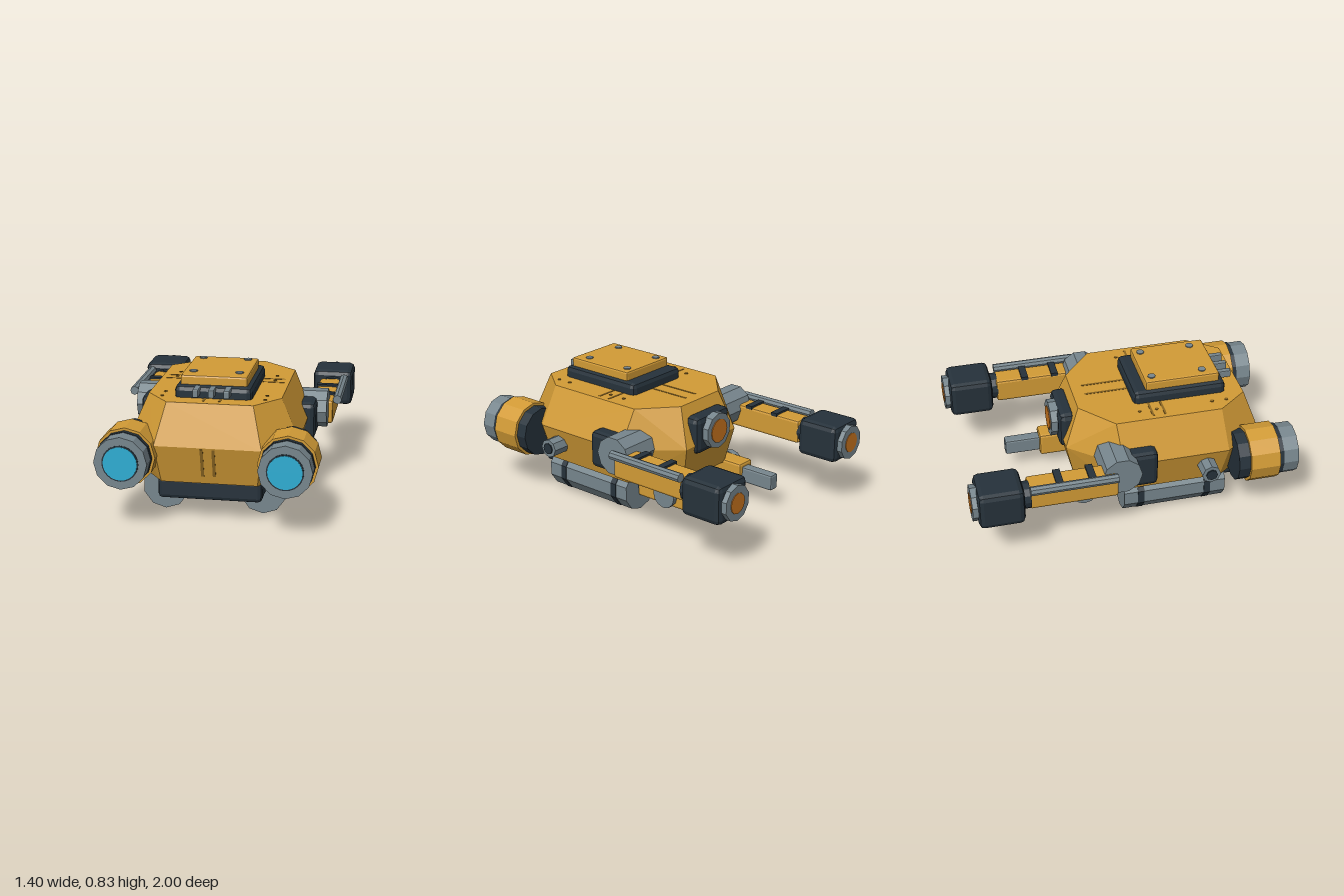
import * as THREE from 'three';
import { RoundedBoxGeometry } from 'three/addons/geometries/RoundedBoxGeometry.js';
import { ConvexGeometry } from 'three/addons/geometries/ConvexGeometry.js';

const material = (name, color) => {
  const m = new THREE.MeshStandardMaterial({ color });
  m.name = name;
  return m;
};

export function createModel() {
  const yellow = material('yellow paint', 0xd29b36);
  const groove = material('groove brown', 0x8c6722);
  const dark = material('dark rubber', 0x26323b);
  const steel = material('steel', 0x77868d);
  const cyan = material('cyan glass', 0x2eaed4);
  const orange = material('orange glow', 0xc9751e);

  const model = new THREE.Group();
  model.name = 'hoverPod';

  const add = (parent, name, geometry, mat, x = 0, y = 0, z = 0) => {
    // Faceted normals throughout
    const g = geometry.index ? geometry.toNonIndexed() : geometry;
    g.computeVertexNormals();
    const mesh = new THREE.Mesh(g, mat);
    mesh.name = name;
    mesh.position.set(x, y, z);
    parent.add(mesh);
    return mesh;
  };

  // Box given by its extents, chamfered when c > 0
  const box = (parent, name, mat, [x0, x1], [y0, y1], [z0, z1], c = 0) => {
    const size = [x1 - x0, y1 - y0, z1 - z0];
    const g = c ? new RoundedBoxGeometry(...size, 1, c) : new THREE.BoxGeometry(...size);
    return add(parent, name, g, mat, (x0 + x1) / 2, (y0 + y1) / 2, (z0 + z1) / 2);
  };

  // Cylinder along an axis, running from a to b; u and v are the other two coordinates in xyz order
  const rod = (parent, name, mat, axis, a, b, u, v, r, sides = 12) => {
    const g = new THREE.CylinderGeometry(r, r, b - a, sides);
    const m = (a + b) / 2;
    if (axis === 'x') return add(parent, name, g.rotateZ(Math.PI / 2), mat, m, u, v);
    if (axis === 'z') return add(parent, name, g.rotateX(Math.PI / 2), mat, u, v, m);
    return add(parent, name, g, mat, u, m, v);
  };

  // Hull: three chamfered-rectangle rings
  const rings = [
    { y: 0.23, w: 0.43, f: 0.77, b: -0.31, fx: 0.28, bx: 0.20, fz: 0.56, bz: -0.06 },
    { y: 0.46, w: 0.495, f: 0.83, b: -0.36, fx: 0.31, bx: 0.235, fz: 0.59, bz: -0.06 },
    { y: 0.70, w: 0.39, f: 0.745, b: -0.27, fx: 0.25, bx: 0.18, fz: 0.565, bz: -0.085 },
  ];
  const points = [];
  for (const r of rings)
    for (const s of [-1, 1])
      for (const [x, z] of [[r.fx, r.f], [r.w, r.fz], [r.w, r.bz], [r.bx, r.b]])
        points.push(new THREE.Vector3(s * x, r.y, z));
  add(model, 'hull', new ConvexGeometry(points), yellow);
  box(model, 'belly', dark, [-0.305, 0.305], [0.12, 0.25], [-0.2, 0.76], 0.025);

  // Roof hatch with bolts and front vents
  box(model, 'hatchBase', dark, [-0.225, 0.225], [0.67, 0.77], [0.065, 0.64], 0.03);
  box(model, 'hatchLid', yellow, [-0.195, 0.195], [0.755, 0.825], [0.145, 0.605], 0.012);
  for (const x of [-0.135, 0.135])
    for (const z of [0.195, 0.51]) rod(model, 'hatchBolt', steel, 'y', 0.82, 0.831, x, z, 0.024, 8);
  for (const x of [-0.09, 0, 0.09])
    box(model, 'hatchVent', steel, [x - 0.017, x + 0.017], [0.72, 0.767], [0.6, 0.708], 0.006);

  // Rear centre thruster
  box(model, 'rearMount', dark, [-0.16, 0.16], [0.4, 0.635], [-0.38, -0.27], 0.035);
  rod(model, 'rearNozzle', steel, 'z', -0.42, -0.37, 0, 0.53, 0.112, 10);
  rod(model, 'rearGlow', orange, 'z', -0.425, -0.418, 0, 0.53, 0.075, 12);

  for (const s of [1, -1]) {
    const side = new THREE.Group();
    side.name = s > 0 ? 'leftSide' : 'rightSide';
    model.add(side);
    const X = (a, b) => (s > 0 ? [a, b] : [-b, -a]);
    const sideBox = (name, mat, x, ...rest) => box(side, name, mat, X(...x), ...rest);
    const zRod = (name, mat, a, b, x, y, r, n) => rod(side, name, mat, 'z', a, b, s * x, y, r, n);
    const xRod = (name, mat, a, b, y, z, r, n) => rod(side, name, mat, 'x', ...X(a, b), y, z, r, n);

    // Headlamp
    zRod('lampBack', dark, 0.62, 0.695, 0.465, 0.4, 0.155);
    zRod('lampShell', yellow, 0.69, 0.872, 0.465, 0.4, 0.173);
    zRod('lampSeal', dark, 0.87, 0.9, 0.465, 0.4, 0.158);
    zRod('lampRim', steel, 0.895, 0.994, 0.465, 0.4, 0.154);
    zRod('lampGasket', dark, 0.99, 0.997, 0.465, 0.4, 0.106, 24);
    zRod('lampLens', cyan, 0.993, 1.0, 0.465, 0.4, 0.098, 24);

    // Underslung tank with straps
    zRod('tank', steel, -0.04, 0.6, 0.29, 0.14, 0.137, 10);
    for (const z of [0.065, 0.485]) zRod('tankStrap', dark, z - 0.02, z + 0.02, 0.29, 0.141, 0.141, 10);

    // Side knob
    xRod('knob', steel, 0.42, 0.575, 0.36, 0.46, 0.058, 8);
    xRod('knobCap', dark, 0.57, 0.583, 0.36, 0.46, 0.036, 8);

    // Shoulder and thruster arm
    sideBox('shoulderMount', dark, [0.42, 0.54], [0.32, 0.552], [-0.1, 0.14], 0.03);
    xRod('shoulder', steel, 0.34, 0.597, 0.465, -0.095, 0.12, 10);
    sideBox('arm', yellow, [0.493, 0.625], [0.35, 0.5], [-0.66, -0.125], 0.015);
    for (const z of [-0.28, -0.475])
      sideBox('armSlat', dark, [0.49, 0.622], [0.49, 0.512], [z - 0.022, z + 0.022]);
    zRod('armRail', steel, -0.655, -0.135, 0.65, 0.505, 0.028, 8);
    zRod('armNeck', dark, -0.7, -0.65, 0.573, 0.425, 0.082);
    sideBox('thrusterBody', dark, [0.442, 0.7], [0.31, 0.543], [-0.965, -0.692], 0.032);
    zRod('thrusterNozzle', steel, -0.996, -0.95, 0.573, 0.425, 0.107, 10);
    zRod('thrusterGlow', orange, -1.0, -0.994, 0.573, 0.425, 0.062, 12);

    // Lower rear claw
    sideBox('clawBase', yellow, [0.188, 0.312], [0.1, 0.25], [-0.445, -0.04], 0.015);
    sideBox('clawProng', steel, [0.212, 0.282], [0.125, 0.225], [-0.665, -0.43], 0.012);
    xRod('clawPivot', steel, 0.3, 0.343, 0.175, -0.27, 0.08, 12);

    // Painted panel seams and rivets
    const seam = sideBox('frontSeam', groove, [0.025, 0.043], [-0.09, 0.09], [-0.002, 0.002]);
    seam.position.set(s * 0.034, 0.365, 0.806);
    seam.rotation.x = Math.atan2(0.06, 0.23);
    for (const [z0, z1] of [[-0.2, 0.06], [0.64, 0.7]])
      sideBox('roofSeam', groove, [0.04, 0.054], [0.699, 0.702], [z0, z1]);
    for (const z of [0.15, 0.225])
      sideBox('roofCrossSeam', groove, [0.23, 0.36], [0.699, 0.702], [z - 0.007, z + 0.007]);
    for (const z of [0.08, 0.185, 0.53, 0.62])
      rod(side, 'roofRivet', groove, 'y', 0.699, 0.704, s * 0.3, z, 0.011, 6);
  }

  return model;
}
